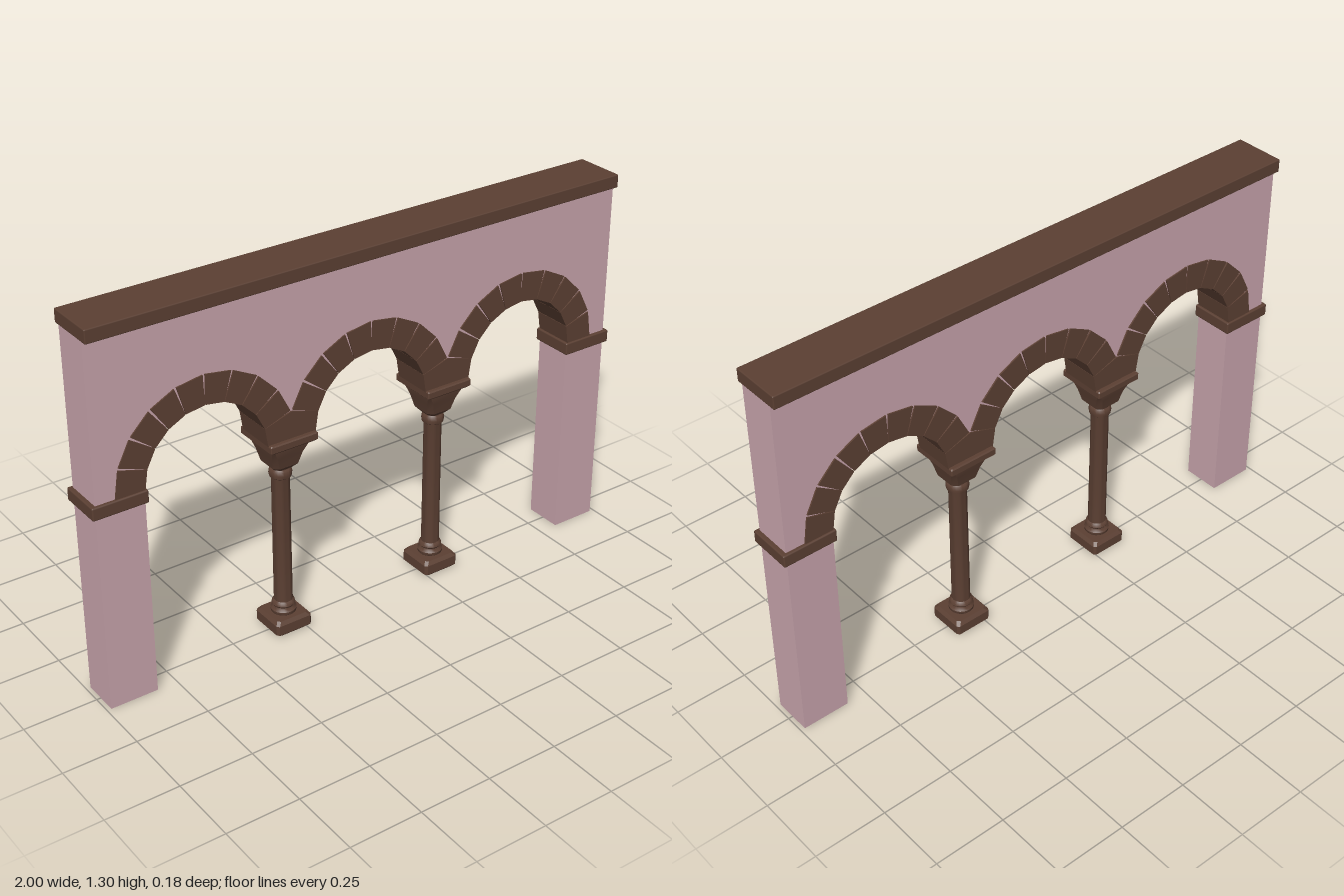
import * as THREE from 'three';
import { RoundedBoxGeometry } from 'three/addons/geometries/RoundedBoxGeometry.js';
import { toCreasedNormals } from 'three/addons/utils/BufferGeometryUtils.js';

const PITCH = 0.605, SPRING = 0.73, R_IN = 0.215, R_OUT = 0.315, STONES = 10;
const plaster = new THREE.MeshStandardMaterial({ color: 0xc9a5ad });
const stone = new THREE.MeshStandardMaterial({ color: 0x5c4033 });

function add(parent, name, geometry, material, x = 0, y = 0, z = 0) {
  const mesh = new THREE.Mesh(geometry, material);
  mesh.name = name;
  mesh.position.set(x, y, z);
  parent.add(mesh);
  return mesh;
}

// Extrusion centred on z = 0
function slab(shape, depth, curveSegments = 12) {
  const g = new THREE.ExtrudeGeometry(shape, { depth, bevelEnabled: false, curveSegments });
  return g.translate(0, 0, -depth / 2);
}

const polygon = (pts) => new THREE.Shape(pts.map(([x, y]) => new THREE.Vector2(x, y)));
const polar = (r, a) => [r * Math.cos(a), r * Math.sin(a)];

// Square sections with cut corners [y, half width, corner cut], joined bottom to top
function squareLoft(sections) {
  const pos = [], index = [], n = 8;
  for (const [y, h, c] of sections) {
    const k = h - c;
    for (const [x, z] of [[h, k], [k, h], [-k, h], [-h, k], [-h, -k], [-k, -h], [k, -h], [h, -k]]) pos.push(x, y, z);
  }
  for (let s = 0; s < sections.length - 1; s++) {
    for (let i = 0; i < n; i++) {
      const a = s * n + i, b = s * n + (i + 1) % n;
      index.push(a, a + n, b, b, a + n, b + n);
    }
  }
  const top = (sections.length - 1) * n;
  for (let i = 1; i < n - 1; i++) index.push(0, i, i + 1, top, top + i + 1, top + i);
  const g = new THREE.BufferGeometry();
  g.setAttribute('position', new THREE.Float32BufferAttribute(pos, 3));
  g.setIndex(index);
  return toCreasedNormals(g, 0.4);
}

// Wall and end piers in one outline with three arched openings
function wallShape() {
  const r = R_IN + 0.01, s = new THREE.Shape();
  s.moveTo(-0.985, 0);
  s.lineTo(-0.82, 0);
  s.lineTo(-0.82, SPRING - 0.02);
  for (const i of [-1, 0, 1]) {
    s.lineTo(i * PITCH - r, SPRING - 0.02);
    s.lineTo(i * PITCH - r, SPRING);
    s.absarc(i * PITCH, SPRING, r, Math.PI, 0, true);
    s.lineTo(i * PITCH + r, SPRING - 0.02);
  }
  s.lineTo(0.82, SPRING - 0.02);
  s.lineTo(0.82, 0);
  s.lineTo(0.985, 0);
  s.lineTo(0.985, 1.265);
  s.lineTo(-0.985, 1.265);
  return s;
}

// One wedge stone; its joints open slightly towards the outside
function wedge(i) {
  const step = Math.PI / STONES, a = i * step, b = a + step, gi = 0.004, go = 0.013;
  const a0 = i === 0 ? 0 : 1, b0 = i === STONES - 1 ? 0 : 1;
  return slab(polygon([
    polar(R_IN, a + gi * a0), polar(R_OUT, a + go * a0),
    polar(R_OUT, b - go * b0), polar(R_IN, b - gi * b0),
  ]), 0.144);
}

function createArch(i) {
  const arch = new THREE.Group();
  arch.name = 'arch';
  arch.position.set(i * PITCH, SPRING, 0);
  // The end stones above the columns are replaced by shared springers
  const first = i === 1 ? 0 : 1, last = i === -1 ? STONES : STONES - 1;
  for (let k = first; k < last; k++) add(arch, 'voussoir', wedge(k), stone);
  return arch;
}

function createColumn(x) {
  const column = new THREE.Group();
  column.name = 'column';
  column.position.x = x;

  add(column, 'columnBase', squareLoft([
    [0, 0.055, 0.012], [0.012, 0.067, 0.008], [0.046, 0.067, 0.008], [0.058, 0.058, 0.01],
  ]), stone);

  // Turned shaft with rings at foot and neck
  const profile = [
    [0, 0.05], [0.034, 0.05], [0.042, 0.06], [0.043, 0.07], [0.037, 0.077], [0.035, 0.083],
    [0.039, 0.089], [0.037, 0.097], [0.031, 0.103], [0.03, 0.56], [0.031, 0.566],
    [0.036, 0.57], [0.038, 0.582], [0.036, 0.594], [0.031, 0.6], [0.032, 0.625], [0, 0.625],
  ].map(([r, y]) => new THREE.Vector2(r, y));
  add(column, 'shaft', toCreasedNormals(new THREE.LatheGeometry(profile, 24), 0.6), stone);

  add(column, 'capital', squareLoft([
    [0.605, 0.034, 0.014], [0.622, 0.05, 0.016], [0.665, 0.06, 0.014], [0.7, 0.071, 0.007], [0.71, 0.071, 0.007],
  ]), stone);
  add(column, 'abacus', squareLoft([
    [0.703, 0.08, 0.003], [0.71, 0.0875, 0.003], [0.73, 0.0875, 0.003], [0.734, 0.084, 0.003],
  ]), stone);

  // Shared springer between two neighbouring arches
  const a = Math.PI / STONES, half = PITCH / 2;
  const w = half - R_IN, wTop = half - R_IN * Math.cos(a), yTop = R_IN * Math.sin(a);
  add(column, 'springer', slab(polygon([
    [-w, 0], [w, 0], [wTop, yTop], [0.003, 0.096], [-0.003, 0.096], [-wTop, yTop],
  ]), 0.144), stone, 0, SPRING, 0);
  return column;
}

export function createModel() {
  const model = new THREE.Group();
  model.name = 'arcade';

  add(model, 'wall', slab(wallShape(), 0.134, 32), plaster);
  add(model, 'cornice', new RoundedBoxGeometry(1.972, 0.046, 0.178, 1, 0.004), stone, 0, 1.282, 0);

  for (const i of [-1, 0, 1]) model.add(createArch(i));
  for (const side of [-1, 1]) {
    model.add(createColumn(side * PITCH / 2));
    add(model, 'impost', new RoundedBoxGeometry(0.188, 0.044, 0.156, 1, 0.005), stone, side * 0.906, 0.709, 0);
  }
  return model;
}
